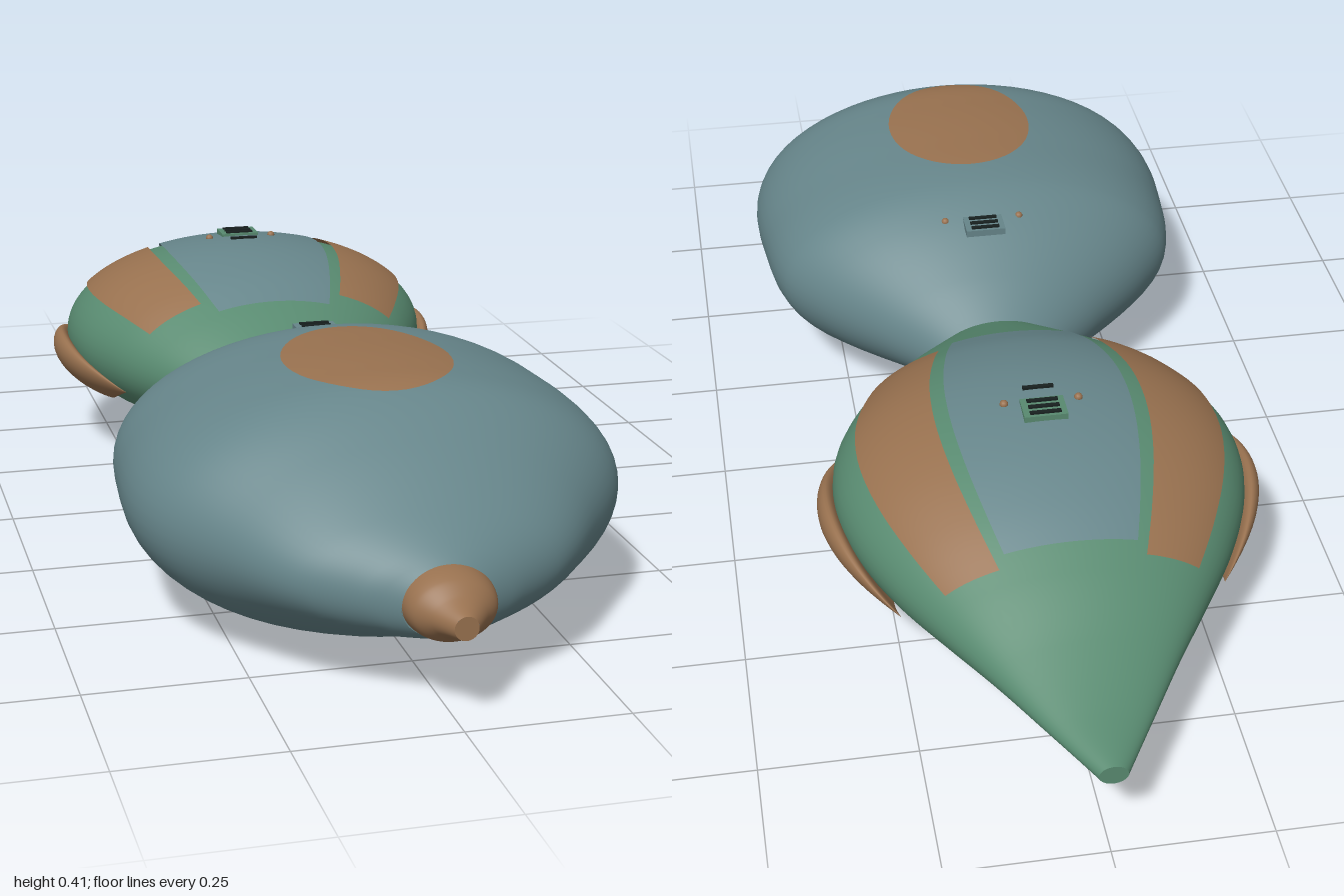
import * as THREE from 'three';
import { ParametricGeometry } from 'three/addons/geometries/ParametricGeometry.js';

const mat = (name, color) => {
  const m = new THREE.MeshStandardMaterial({ color });
  m.name = name;
  return m;
};

// Profiles run front to back: z, half width, top y, bottom y
const FRONT = [
  [0.92, 0.07, 0.21, 0.11], [0.895, 0.12, 0.235, 0.1], [0.84, 0.205, 0.275, 0.082], [0.74, 0.29, 0.342, 0.04],
  [0.64, 0.362, 0.393, 0.008], [0.55, 0.388, 0.404, 0.002], [0.42, 0.385, 0.405, 0.01], [0.28, 0.362, 0.396, 0.02],
  [0.2, 0.305, 0.366, 0.045], [0.1, 0.198, 0.305, 0.08], [0.03, 0.12, 0.255, 0.1], [-0.02, 0.085, 0.22, 0.105],
];
const REAR = [
  [0.025, 0.11, 0.255, 0.115], [-0.05, 0.178, 0.292, 0.097], [-0.12, 0.232, 0.326, 0.082], [-0.2, 0.283, 0.36, 0.066],
  [-0.3, 0.325, 0.382, 0.053], [-0.4, 0.335, 0.384, 0.051], [-0.5, 0.315, 0.368, 0.06], [-0.6, 0.27, 0.335, 0.075],
  [-0.7, 0.208, 0.288, 0.098], [-0.8, 0.143, 0.238, 0.122], [-0.9, 0.082, 0.2, 0.136], [-1, 0.022, 0.176, 0.143],
];
const NOSE = [
  [0.885, 0.07, 0.218, 0.11], [0.915, 0.07, 0.218, 0.11], [0.945, 0.063, 0.209, 0.115],
  [0.97, 0.041, 0.19, 0.13], [1, 0.018, 0.175, 0.139],
].reverse();

// Smooth section of a profile at depth z
function section(profile, z) {
  const last = profile.length - 1;
  let i = 0;
  while (i < last - 1 && z < profile[i + 1][0]) i++;
  const a = profile[i], b = profile[i + 1], h = b[0] - a[0];
  const t = THREE.MathUtils.clamp((z - a[0]) / h, 0, 1);
  const slope = (j, k) => {
    const p = profile[Math.max(j - 1, 0)], n = profile[Math.min(j + 1, last)];
    return (n[k] - p[k]) / (n[0] - p[0]);
  };
  const [rx, top, bottom] = [1, 2, 3].map((k) =>
    (2 * t ** 3 - 3 * t ** 2 + 1) * a[k] + (3 * t ** 2 - 2 * t ** 3) * b[k] +
    (t ** 3 - 2 * t ** 2 + t) * h * slope(i, k) + (t ** 3 - t ** 2) * h * slope(i + 1, k));
  return { rx, cy: (top + bottom) / 2, ry: (top - bottom) / 2 };
}

// Surface patch between two angles (0 = top) and two depths, lifted off the profile
function patch(profile, a0, a1, z0, z1, lift, nu, nv) {
  return new ParametricGeometry((u, v, p) => {
    const z = THREE.MathUtils.lerp(z0, z1, v), a = THREE.MathUtils.lerp(a0, a1, u);
    const s = section(profile, z);
    p.set((s.rx + lift) * Math.sin(a), s.cy + (s.ry + lift) * Math.cos(a), z);
  }, nu, nv);
}

const topY = (profile, x, z) => {
  const s = section(profile, z);
  return s.cy + s.ry * Math.sqrt(Math.max(0, 1 - (x / s.rx) ** 2));
};

export function createModel() {
  const root = new THREE.Group();
  const blue = mat('slate blue', 0x66858a);
  const green = mat('leaf green', 0x588a70);
  const brown = mat('warm brown', 0x98714f);
  const dark = mat('dark slot', 0x18201f);
  blue.side = green.side = brown.side = THREE.DoubleSide;

  const add = (name, geo, m, parent = root) => {
    const mesh = new THREE.Mesh(geo, m);
    mesh.name = name;
    parent.add(mesh);
    return mesh;
  };

  // Closed elliptical hull
  function hull(name, profile, m) {
    const g = new THREE.Group();
    g.name = name;
    const z0 = profile[0][0], z1 = profile[profile.length - 1][0];
    add(name + 'Shell', patch(profile, 0, Math.PI * 2, z0, z1, 0, 64, 72), m, g);
    for (const [z, turn] of [[z0, 0], [z1, Math.PI]]) {
      const s = section(profile, z);
      const cap = add(name + 'Cap', new THREE.CircleGeometry(1, 48), m, g);
      cap.scale.set(s.rx, s.ry, 1);
      cap.position.set(0, s.cy, z);
      cap.rotation.y = turn;
    }
    root.add(g);
  }
  hull('frontBody', FRONT, blue);
  hull('rearBody', REAR, green);
  hull('nose', NOSE, brown);

  // Oval plate following the top of the front body
  add('topOval', new ParametricGeometry((u, v, p) => {
    const a = u * Math.PI * 2, x = 0.132 * v * Math.sin(a), z = 0.485 + 0.162 * v * Math.cos(a);
    p.set(x, topY(FRONT, x, z) + 0.003, z);
  }, 48, 10), brown);

  // Back panels on the rear body
  const deg = Math.PI / 180;
  add('backPanel', patch(REAR, -25.5 * deg, 25.5 * deg, -0.12, -0.66, 0.006, 16, 24), blue);
  for (const side of [1, -1]) {
    const label = side > 0 ? 'left' : 'right';
    const [a0, a1] = side > 0 ? [30, 60] : [-60, -30];
    add(label + 'WingPanel', patch(REAR, a0 * deg, a1 * deg, -0.15, -0.68, 0.006, 12, 24), brown);

    // Pointed lens-shaped pod on the flank
    add(label + 'SidePod', new ParametricGeometry((u, v, p) => {
      const t = side > 0 ? v : 1 - v, a = u * Math.PI * 2;
      const z = -0.175 - 0.445 * t, bulge = Math.sin(Math.PI * t);
      const y = 0.163 + 0.061 * bulge * Math.cos(a), s = section(REAR, z);
      const bodyX = s.rx * Math.sqrt(Math.max(0, 1 - ((y - s.cy) / s.ry) ** 2));
      p.set(side * (bodyX + 0.012 + 0.022 * bulge * Math.sin(a)), y, z);
    }, 32, 32), brown);
  }

  // Small vent box with dark slots and a stud on each side
  function vent(name, profile, z, boxMat, studX) {
    const g = new THREE.Group();
    g.name = name;
    g.position.set(0, topY(profile, 0, z) + 0.006, z);
    add('ventBox', new THREE.BoxGeometry(0.07, 0.012, 0.05), boxMat, g);
    for (const dz of [-0.016, 0, 0.016]) {
      add('ventSlot', new THREE.BoxGeometry(0.05, 0.004, 0.007), dark, g).position.set(0, 0.007, dz);
    }
    for (const x of [-studX, studX]) {
      add('stud', new THREE.SphereGeometry(0.007, 12, 8), brown, g).position.set(x, 0, 0.024);
    }
    root.add(g);
    return g;
  }
  vent('frontVent', FRONT, 0.178, blue, 0.067);
  const rearVent = vent('rearVent', REAR, -0.422, green, 0.06);
  add('lowerSlot', new THREE.BoxGeometry(0.05, 0.006, 0.007), dark, rearVent).position.set(0, 0.004, 0.055);

  return root;
}
